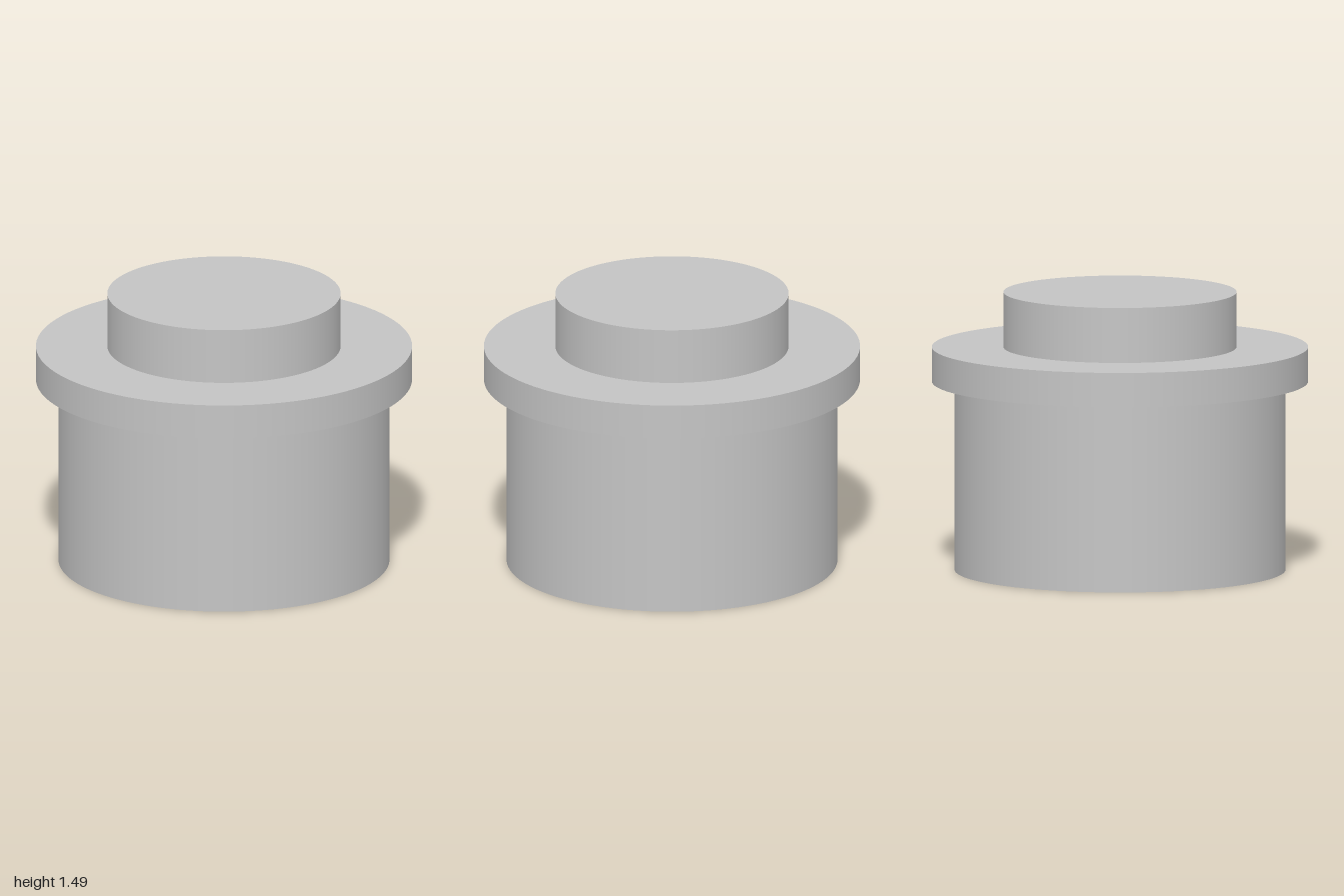
import * as THREE from 'three';
import { mergeGeometries } from 'three/addons/utils/BufferGeometryUtils.js';

const SEGMENTS = 96;

// Revolve a profile of [radius, height] points, smooth around and sharp at each corner
function turned(name, profile, material) {
  const bands = [];
  for (let i = 0; i < profile.length - 1; i++) {
    const ends = [profile[i], profile[i + 1]].map(([r, y]) => new THREE.Vector2(r, y));
    bands.push(new THREE.LatheGeometry(ends, SEGMENTS));
  }
  const mesh = new THREE.Mesh(mergeGeometries(bands), material);
  mesh.name = name;
  return mesh;
}

export function createModel() {
  const grey = new THREE.MeshStandardMaterial({ color: 0xc4c4c4 });
  grey.name = 'grey';

  const group = new THREE.Group();
  group.name = 'flangedPlug';
  group.add(
    // blind bore in the underside
    turned('bore', [[0, 0.43], [0.49, 0.43], [0.49, 0]], grey),
    // bottom ring and main cylinder
    turned('body', [[0.49, 0], [0.88, 0], [0.88, 1.01]], grey),
    // wide collar
    turned('flange', [[0.88, 1.01], [1, 1.01], [1, 1.195], [0.62, 1.195]], grey),
    // raised disc on top
    turned('topBoss', [[0.62, 1.195], [0.62, 1.49], [0, 1.49]], grey),
  );
  return group;
}
